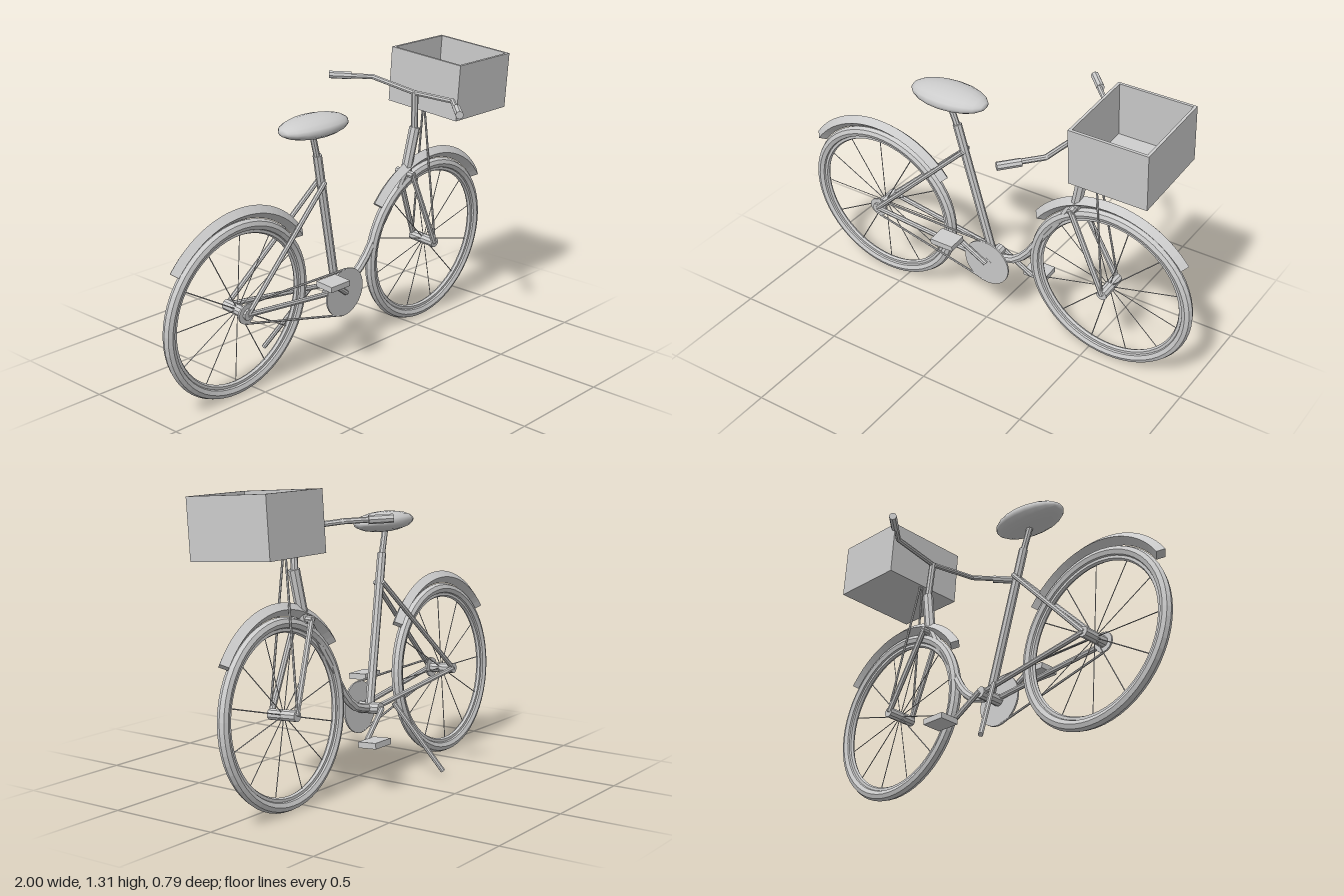
import * as THREE from 'three';

const grey = new THREE.MeshStandardMaterial({ color: 0xcccccc });
grey.name = 'plain grey';

const V = (x, y, z) => new THREE.Vector3(x, y, z);
const BB = V(0, 0.319, 0);          // crank axis
const AXLE_Y = 0.4, WHEEL_X = 0.6;

// Faceted normals without touching the material
function faceted(geometry) {
  const g = geometry.index ? geometry.toNonIndexed() : geometry;
  g.computeVertexNormals();
  return g;
}

function add(parent, name, geometry, x = 0, y = 0, z = 0) {
  const mesh = new THREE.Mesh(geometry, grey);
  mesh.name = name;
  mesh.position.set(x, y, z);
  parent.add(mesh);
  return mesh;
}

// Straight tube between two points
function rod(parent, name, a, b, r, sides = 8) {
  const dir = b.clone().sub(a);
  const mesh = add(parent, name, faceted(new THREE.CylinderGeometry(r, r, dir.length(), sides)));
  mesh.position.copy(a).add(b).multiplyScalar(0.5);
  mesh.quaternion.setFromUnitVectors(V(0, 1, 0), dir.normalize());
  return mesh;
}

// Chain of straight tubes with small joints at the bends
function bentRod(parent, name, points, r) {
  const group = new THREE.Group();
  group.name = name;
  for (let i = 0; i < points.length - 1; i++) {
    rod(group, name + 'Section', points[i], points[i + 1], r);
    if (i > 0) add(group, name + 'Bend', new THREE.SphereGeometry(r, 8, 6)).position.copy(points[i]);
  }
  parent.add(group);
}

function wheel(name, x, spokeOffset) {
  const group = new THREE.Group();
  group.name = name;
  group.position.set(x, AXLE_Y, 0);
  add(group, 'tyre', faceted(new THREE.TorusGeometry(0.373, 0.025, 8, 56)));
  add(group, 'rim', faceted(new THREE.TorusGeometry(0.346, 0.012, 6, 56)));
  rod(group, 'hub', V(0, 0, -0.07), V(0, 0, 0.07), 0.024, 10);
  for (let i = 0; i < 12; i++) {
    const a = i * Math.PI / 6 + spokeOffset;
    rod(group, 'spoke', V(0, 0, 0), V(Math.cos(a) * 0.34, Math.sin(a) * 0.34, 0), 0.0025, 4);
  }
  return group;
}

// Mudguard: an arc of diamond section, closed at both ends
function mudguard(x) {
  const group = new THREE.Group();
  group.name = 'mudguard';
  group.position.set(x, AXLE_Y, 0);
  const R = 0.428, r = 0.028, start = THREE.MathUtils.degToRad(36), sweep = Math.PI - 2 * start;
  const arc = faceted(new THREE.TorusGeometry(R, r, 4, 24, sweep));
  add(group, 'mudguardArc', arc).rotation.z = start;
  for (const [angle, flip] of [[start, 0], [start + sweep, Math.PI]]) {
    const end = new THREE.Group();
    end.rotation.z = angle;
    add(end, 'mudguardEnd', new THREE.CircleGeometry(r, 4), R).rotation.x = Math.PI / 2 + flip;
    group.add(end);
  }
  return group;
}

function frame() {
  const g = new THREE.Group();
  g.name = 'frame';
  rod(g, 'headTube', V(0.43, 0.755, 0), V(0.475, 0.98, 0), 0.025);
  rod(g, 'seatTube', V(-0.16, 0.985, 0), BB, 0.02);
  rod(g, 'seatPost', V(-0.155, 0.96, 0), V(-0.2, 1.1, 0), 0.014);
  rod(g, 'bottomBracket', V(0, 0.319, -0.06), V(0, 0.319, 0.06), 0.026, 10);

  // Swept low step-through tube
  const sweep = new THREE.CatmullRomCurve3([
    V(0.435, 0.8, 0), V(0.35, 0.665, 0), V(0.255, 0.525, 0), V(0.19, 0.42, 0), V(0.11, 0.345, 0), BB]);
  add(g, 'downTube', faceted(new THREE.TubeGeometry(sweep, 12, 0.02, 8)));

  for (const s of [-1, 1]) {
    rod(g, 'chainStay', V(-WHEEL_X, AXLE_Y, s * 0.065), V(0, 0.325, s * 0.042), 0.012);
    rod(g, 'seatStay', V(-WHEEL_X, AXLE_Y, s * 0.065), V(-0.125, 0.86, s * 0.02), 0.011);
    rod(g, 'forkLeg', V(0.43, 0.775, s * 0.042), V(WHEEL_X, AXLE_Y, s * 0.065), 0.013);
    rod(g, 'basketStay', V(0.53, 1.05, s * 0.006), V(WHEEL_X, AXLE_Y, s * 0.07), 0.005, 6);
  }
  rod(g, 'forkCrown', V(0.432, 0.77, -0.05), V(0.432, 0.77, 0.05), 0.016);
  rod(g, 'kickstand', V(-0.09, 0.328, -0.068), V(-0.21, 0.008, -0.23), 0.011);
  return g;
}

function drivetrain() {
  const g = new THREE.Group();
  g.name = 'drivetrain';
  rod(g, 'chainring', V(0, 0.319, 0.051), V(0, 0.319, 0.059), 0.115, 32);
  rod(g, 'sprocket', V(-WHEEL_X, AXLE_Y, 0.051), V(-WHEEL_X, AXLE_Y, 0.059), 0.045, 16);
  rod(g, 'upperChain', V(-WHEEL_X, 0.443, 0.055), V(0, 0.432, 0.055), 0.005, 6);
  rod(g, 'lowerChain', V(-WHEEL_X, 0.355, 0.055), V(0, 0.206, 0.055), 0.005, 6);
  // Opposed cranks and pedals
  for (const s of [-1, 1]) {
    const tip = V(-s * 0.15, 0.319 + s * 0.112, s * 0.082);
    rod(g, 'crank', V(0, 0.319, s * 0.066), tip, 0.012);
    add(g, 'pedal', new THREE.BoxGeometry(0.115, 0.026, 0.09), -s * 0.16, 0.319 + s * 0.115, s * 0.13);
  }
  return g;
}

function handlebar() {
  const g = new THREE.Group();
  g.name = 'handlebar';
  rod(g, 'stem', V(0.473, 0.96, 0), V(0.458, 1.15, 0), 0.016);
  bentRod(g, 'bar', [V(0.3, 1.168, -0.375), V(0.435, 1.168, -0.235), V(0.457, 1.145, 0),
    V(0.435, 1.168, 0.235), V(0.3, 1.168, 0.375)], 0.012);
  for (const s of [-1, 1]) {
    rod(g, 'grip', V(0.3, 1.168, s * 0.383), V(0.37, 1.168, s * 0.31), 0.018);
  }
  return g;
}

// Open-topped box with thin walls
function basket() {
  const g = new THREE.Group();
  g.name = 'basket';
  g.position.set(0.693, 1.05, 0);
  const w = 0.355, h = 0.255, d = 0.4, t = 0.012;
  add(g, 'basketFloor', new THREE.BoxGeometry(w, t, d), 0, t / 2, 0);
  for (const s of [-1, 1]) {
    add(g, 'basketSide', new THREE.BoxGeometry(w, h, t), 0, h / 2, s * (d - t) / 2);
    add(g, 'basketEnd', new THREE.BoxGeometry(t, h, d - 2 * t), s * (w - t) / 2, h / 2, 0);
  }
  return g;
}

function saddle() {
  const geometry = new THREE.SphereGeometry(1, 16, 10);
  geometry.rotateZ(Math.PI / 2);
  geometry.scale(0.188, 0.046, 0.098);
  const mesh = new THREE.Mesh(geometry, grey);
  mesh.name = 'saddle';
  mesh.position.set(-0.19, 1.122, 0);
  return mesh;
}

export function createModel() {
  const model = new THREE.Group();
  model.name = 'bicycle';
  // Whole bicycle leans sideways onto its stand
  const bike = new THREE.Group();
  bike.name = 'leaningBicycle';
  bike.position.z = -0.08;
  bike.rotation.x = 0.07;
  bike.add(
    wheel('rearWheel', -WHEEL_X, 0), wheel('frontWheel', WHEEL_X, Math.PI / 12),
    mudguard(-WHEEL_X), mudguard(WHEEL_X),
    frame(), drivetrain(), handlebar(), basket(), saddle());
  model.add(bike);
  return model;
}
